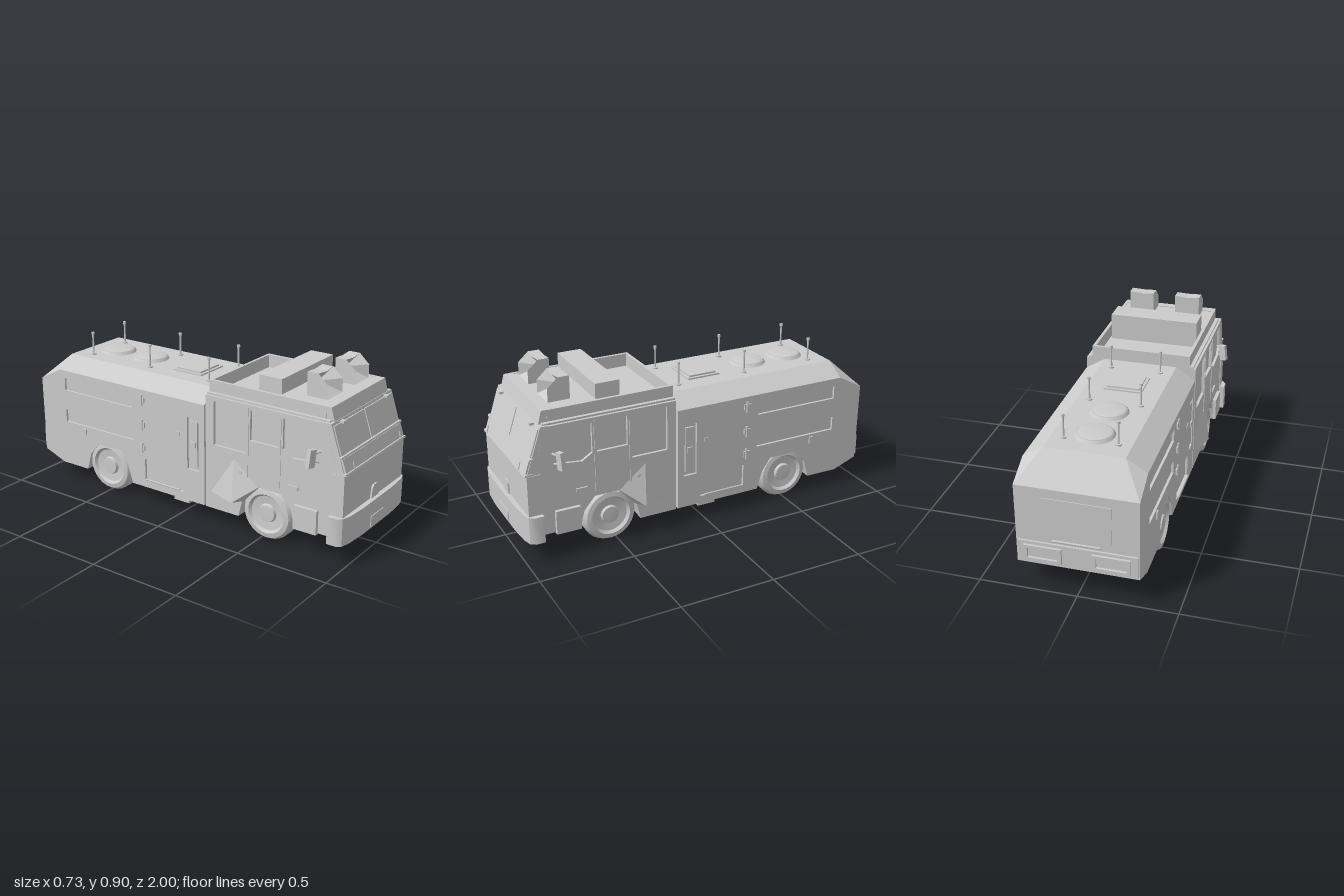
import * as THREE from 'three';
import { toCreasedNormals } from 'three/addons/utils/BufferGeometryUtils.js';
import { ConvexGeometry } from 'three/addons/geometries/ConvexGeometry.js';

const grey = new THREE.MeshStandardMaterial({ color: 0xcccccc, side: THREE.DoubleSide });
const V = (x, y, z) => new THREE.Vector3(x, y, z);
const vec2 = (pts) => pts.map(([a, b]) => new THREE.Vector2(a, b));
const rect = (z0, z1, y0, y1) => [[z0, y0], [z1, y0], [z1, y1], [z0, y1]];

export function createModel() {
  const truck = new THREE.Group();
  truck.name = 'armouredTruck';

  const add = (name, geo, x = 0, y = 0, z = 0) => {
    const m = new THREE.Mesh(geo, grey);
    m.name = name;
    m.position.set(x, y, z);
    truck.add(m);
    return m;
  };
  // box given by its limits
  const box = (name, x0, x1, y0, y1, z0, z1) =>
    add(name, new THREE.BoxGeometry(x1 - x0, y1 - y0, z1 - z0), (x0 + x1) / 2, (y0 + y1) / 2, (z0 + z1) / 2);
  const boxPair = (name, x0, x1, ...r) => {
    box(name, x0, x1, ...r);
    box(name, -x1, -x0, ...r);
  };
  // side outline of [z, y] points, extruded across x
  const slab = (name, pts, width, x = 0, holes = []) => {
    const s = new THREE.Shape(vec2(pts));
    holes.forEach((h) => s.holes.push(new THREE.Path(vec2(h))));
    const g = new THREE.ExtrudeGeometry(s, { depth: width, bevelEnabled: false });
    g.translate(0, 0, -width / 2).rotateY(-Math.PI / 2);
    return add(name, g, x);
  };
  const slabPair = (name, pts, width, x, holes) => [x, -x].forEach((p) => slab(name, pts, width, p, holes));
  const rod = (name, r, a, b, seg = 8) => {
    const d = b.clone().sub(a);
    const m = add(name, new THREE.CylinderGeometry(r, r, d.length(), seg));
    m.position.copy(a).addScaledVector(d, 0.5);
    m.quaternion.setFromUnitVectors(V(0, 1, 0), d.normalize());
    return m;
  };

  // ---- rear body: core, recessed side skins, chamfered roof ----
  const bodySide = [[0.155, 0.1], [0.155, 0.655], [-0.84, 0.655], [-0.98, 0.58], [-0.975, 0.15], [-0.84, 0.1],
    [-0.66, 0.1], [-0.63, 0.2], [-0.57, 0.27], [-0.41, 0.27], [-0.36, 0.2], [-0.33, 0.1]];
  slab('bodyCore', bodySide, 0.584);
  slabPair('bodySide', bodySide, 0.013, 0.2985, [
    rect(-0.805, -0.32, 0.54, 0.61), rect(-0.805, -0.32, 0.355, 0.43),
    rect(0.045, 0.12, 0.28, 0.57), rect(-0.24, 0.02, 0.14, 0.265)]);
  const ends = (z) => [-1, 1].flatMap((s) => [V(s * 0.2, 0.72, z), V(s * 0.305, 0.655, z)]);
  add('bodyRoof', new ConvexGeometry([...ends(0.155), ...ends(-0.84)]));
  add('bodyRearSlope', new ConvexGeometry([...ends(-0.84), V(0.305, 0.58, -0.98), V(-0.305, 0.58, -0.98)]));
  boxPair('lockerDoor', 0.292, 0.302, 0.3, 0.55, 0.057, 0.108);
  boxPair('lockerHandle', 0.3, 0.309, 0.41, 0.44, 0.07, 0.1);
  boxPair('doorHandle', 0.304, 0.309, 0.455, 0.475, -0.03, 0);
  for (const y of [0.33, 0.46, 0.6]) {
    boxPair('doorHinge', 0.3, 0.313, y - 0.015, y + 0.015, -0.275, -0.235);
    [0.312, -0.312].forEach((x) => rod('hingePin', 0.006, V(x, y - 0.03, -0.25), V(x, y + 0.03, -0.25)));
  }
  boxPair('fillerCap', 0.3, 0.312, 0.3, 0.34, -0.68, -0.655);
  [0.313, -0.313].forEach((x) => rod('sideGrabRail', 0.005, V(x, 0.15, 0), V(x, 0.15, -0.23)));

  // ---- rear end ----
  box('rearHatch', -0.17, 0.17, 0.33, 0.53, -0.984, -0.97);
  rod('rearGrabRail', 0.006, V(-0.12, 0.305, -0.99), V(0.12, 0.305, -0.99));
  box('rearLightBand', -0.298, 0.298, 0.165, 0.28, -0.987, -0.96);
  for (const s of [-1, 1]) {
    const hole = rect(-0.075, 0.075, -0.027, 0.027);
    const frame = new THREE.Shape(vec2(rect(-0.095, 0.095, -0.042, 0.042)));
    frame.holes.push(new THREE.Path(vec2(hole)));
    add('rearLightFrame', new THREE.ExtrudeGeometry(frame, { depth: 0.014, bevelEnabled: false }), s * 0.17, 0.222, -1);
  }

  // ---- roof fittings ----
  for (const z of [-0.665, -0.43]) {
    add('roofVent', new THREE.CylinderGeometry(0.09, 0.1, 0.014, 20), 0, 0.727, z);
    add('ventDome', new THREE.SphereGeometry(0.09, 20, 4, 0, Math.PI * 2, 0, Math.PI / 2).scale(1, 0.1, 1), 0, 0.733, z);
  }
  box('roofHatchFrame', -0.1, 0.1, 0.715, 0.728, -0.2, -0.015);
  box('roofHatch', -0.085, 0.085, 0.715, 0.737, -0.185, -0.03);
  for (const z of [0.062, -0.33, -0.735]) {
    for (const x of [-0.135, 0.135]) {
      rod('antennaBase', 0.015, V(x, 0.715, z), V(x, 0.728, z), 12);
      rod('antenna', 0.005, V(x, 0.72, z), V(x, 0.845, z));
      rod('antennaTip', 0.009, V(x, 0.835, z), V(x, 0.848, z));
    }
  }

  // ---- cab ----
  const cabSide = [[0.165, 0.1], [0.165, 0.715], [0.865, 0.715], [0.925, 0.48], [0.925, 0.14], [0.7, 0.14],
    [0.68, 0.22], [0.62, 0.29], [0.46, 0.29], [0.4, 0.22], [0.37, 0.1]];
  slab('cabCore', cabSide, 0.582);
  slabPair('cabSide', cabSide, 0.015, 0.298, [
    rect(0.215, 0.41, 0.455, 0.69), rect(0.435, 0.6, 0.53, 0.69),
    [[0.625, 0.53], [0.68, 0.495], [0.82, 0.51], [0.85, 0.55], [0.825, 0.69], [0.625, 0.69]]]);
  slabPair('doorSeam', rect(0.418, 0.426, 0.32, 0.7), 0.004, 0.307);
  slabPair('doorSeam', rect(0.607, 0.615, 0.32, 0.7), 0.004, 0.307);
  for (const z of [0.36, 0.69]) boxPair('cabDoorHandle', 0.303, 0.314, 0.335, 0.355, z - 0.03, z + 0.03);
  box('cabLink', -0.22, 0.22, 0.15, 0.66, 0.15, 0.17);
  boxPair('frontWingBlock', 0.29, 0.325, 0.135, 0.262, 0.705, 0.835);
  // flared guard behind each front wheel
  for (const s of [-1, 1]) {
    add('wheelGuard', new ConvexGeometry([V(s * 0.355, 0.19, 0.36), V(s * 0.305, 0.41, 0.34), V(s * 0.3, 0.19, 0.18),
      V(s * 0.3, 0.3, 0.5), V(s * 0.3, 0.19, 0.4)]));
  }

  // ---- cab front ----
  box('frontPanel', -0.31, 0.31, 0.13, 0.475, 0.9, 0.97);
  const slanted = (y0, y1, out, depth) => {
    const z = (y) => 0.975 - (y - 0.48) / 3 + out;
    return [[z(y0), y0], [z(y1), y1], [z(y1) - depth, y1], [z(y0) - depth, y0]];
  };
  slab('windscreenFrame', slanted(0.475, 0.718, -0.01, 0.04), 0.61);
  for (const s of [-1, 1]) {
    slab('windscreenPane', slanted(0.567, 0.705, -0.004, 0.02), 0.292, s * 0.15);
    rod('wiper', 0.003, V(s * 0.24, 0.49, 0.985), V(s * 0.24, 0.53, 0.975));
    box('windscreenClip', s * 0.22 - 0.012, s * 0.22 + 0.012, 0.703, 0.715, 0.89, 0.912);
  }
  slab('windscreenTrim', slanted(0.555, 0.564, 0.002, 0.02), 0.62);
  slab('frontBand', slanted(0.488, 0.552, 0, 0.025), 0.6);
  slab('frontBandTrim', slanted(0.476, 0.486, 0.004, 0.04), 0.62);
  const arch = new THREE.Shape(vec2([[-0.036, 0], [0.036, 0], [0.028, 0.055], [0.015, 0.068], [-0.015, 0.068], [-0.028, 0.055]]));
  add('frontCatch', new THREE.ExtrudeGeometry(arch, { depth: 0.012, bevelEnabled: false }), 0, 0.262, 0.967);

  // wrap-around bumper
  const plan = [[-0.335, -0.9], [0.335, -0.9], [0.335, -0.95], [0.318, -0.975], [0.27, -0.988], [0.15, -0.996],
    [-0.15, -0.996], [-0.27, -0.988], [-0.318, -0.975], [-0.335, -0.95]];
  const bumper = new THREE.ExtrudeGeometry(new THREE.Shape(vec2(plan)), { depth: 0.145, bevelEnabled: false });
  add('bumper', toCreasedNormals(bumper.rotateX(-Math.PI / 2), 0.6), 0, 0.115, 0);
  box('numberPlate', -0.068, 0.068, 0.125, 0.182, 0.99, 1);

  // ---- mirrors ----
  for (const s of [-1, 1]) {
    const mirror = box('mirror', s * 0.338 - 0.019, s * 0.338 + 0.019, 0.492, 0.582, 0.79, 0.815);
    mirror.rotation.set(0, s * 0.3, -s * -0.13);
    rod('mirrorArm', 0.006, V(s * 0.295, 0.565, 0.83), V(s * 0.335, 0.555, 0.8));
    rod('mirrorArm', 0.006, V(s * 0.295, 0.51, 0.83), V(s * 0.335, 0.52, 0.8));
  }

  // ---- roof tray, box and loudhailers ----
  boxPair('trayWall', 0.255, 0.272, 0.71, 0.785, 0.165, 0.84);
  box('trayBack', -0.27, 0.27, 0.71, 0.785, 0.165, 0.18);
  slab('trayFront', [[0.84, 0.71], [0.885, 0.71], [0.865, 0.785], [0.82, 0.785]], 0.54);
  box('trayFrontDeck', -0.262, 0.262, 0.71, 0.782, 0.57, 0.84);
  boxPair('trayRail', 0.255, 0.292, 0.705, 0.725, 0.165, 0.87);
  box('roofBox', -0.245, 0.245, 0.715, 0.86, 0.445, 0.575);
  // rim of the hailer mouth, its back corners and the sunken centre
  const rim = [V(-0.07, 0, 0.055), V(0.07, 0, 0.055), V(0.07, 0.07, 0.055), V(0.07, 0.12, 0),
    V(0, 0.115, 0.005), V(-0.07, 0.12, 0), V(-0.07, 0.07, 0.055)];
  const throat = V(0, 0.06, -0.04);
  const back = rim.map((p) => V(p.x, p.y, -0.06));
  const tris = [];
  rim.forEach((p, i) => {
    const j = (i + 1) % rim.length;
    tris.push(p, rim[j], throat, p, back[i], back[j], p, back[j], rim[j], back[j], back[i], V(0, 0.06, -0.06));
  });
  const hailer = new THREE.BufferGeometry().setFromPoints(tris);
  hailer.computeVertexNormals();
  for (const x of [-0.134, 0.134]) {
    add('loudhailer', hailer, x, 0.791, 0.75);
    rod('loudhailerFoot', 0.025, V(x, 0.775, 0.745), V(x, 0.795, 0.745), 12);
  }

  // ---- wheels and underside ----
  const tyre = toCreasedNormals(new THREE.LatheGeometry(vec2([[0, -0.055], [0.1, -0.055], [0.13, -0.05], [0.145, -0.025],
    [0.145, 0.025], [0.13, 0.05], [0.105, 0.055], [0.093, 0.04], [0.05, 0.035], [0.045, 0.05], [0, 0.052]]), 28), 0.6);
  for (const z of [0.535, -0.5]) {
    for (const s of [-1, 1]) add('wheel', tyre, s * 0.25, 0.157, z).rotation.z = -s * Math.PI / 2;
    rod('axle', 0.025, V(-0.22, 0.157, z), V(0.22, 0.157, z), 10);
    box('chassis', -0.175, 0.175, 0.105, 0.3, z - 0.18, z + 0.18);
  }
  for (const s of [-1, 1]) {
    const a = s * 0.13;
    box('underslungBox', a - 0.07, a + 0.07, 0.02, 0.105, -0.125, -0.025);
    rod('underNozzle', 0.02, V(s * 0.165, 0.06, 0.11), V(s * 0.165, 0.075, -0.03), 12);
    rod('nozzleBracket', 0.012, V(s * 0.165, 0.06, 0.04), V(s * 0.165, 0.11, 0.02));
  }
  return truck;
}
